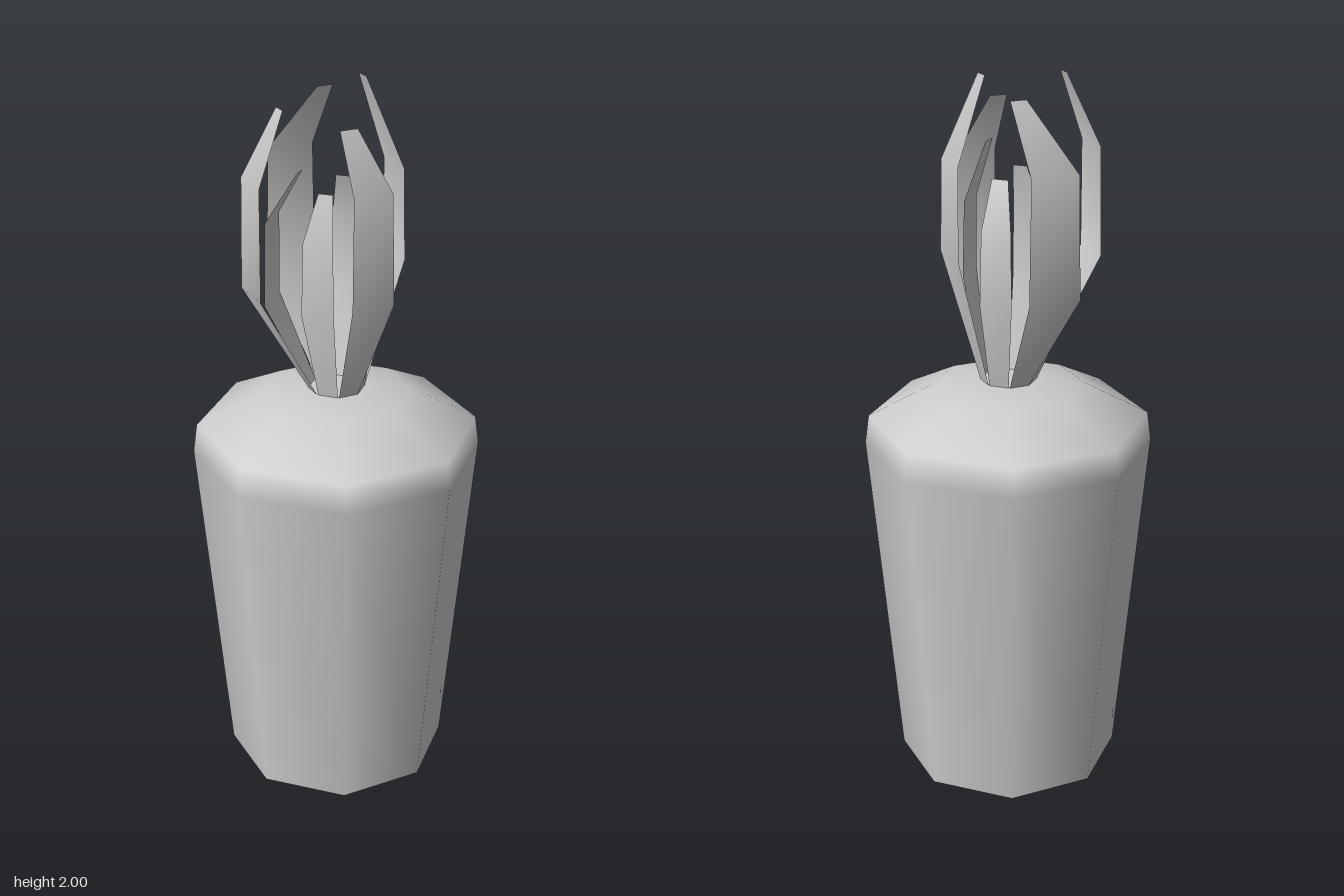
import * as THREE from 'three';

const material = new THREE.MeshStandardMaterial({ color: 0xcccccc, side: THREE.DoubleSide });
const rad = THREE.MathUtils.degToRad;

// Thin ribbon that rises from the crown, bows outwards and curls in to a narrow tip.
// mid and tip are [distance from axis, sideways shift, width]; heights are the three levels above the base.
function createLeaf({ angle, mid, tip, heights }) {
  const a = rad(angle);
  const sections = [
    [0.07, 0, 0.055, 1.15],
    [...mid, heights[0]],
    [mid[0] - 0.004, mid[1], mid[2] * 0.92, heights[1]],
    [...tip, heights[2]],
  ];
  const positions = [];
  const indices = [];
  sections.forEach(([r, shift, width, y], i) => {
    for (const side of [-0.5, 0.5]) {
      const s = shift + side * width;
      positions.push(r * Math.sin(a) + s * Math.cos(a), y, r * Math.cos(a) - s * Math.sin(a));
    }
    if (i > 0) {
      const k = i * 2;
      indices.push(k - 2, k - 1, k + 1, k - 2, k + 1, k);
    }
  });
  const geometry = new THREE.BufferGeometry();
  geometry.setAttribute('position', new THREE.Float32BufferAttribute(positions, 3));
  geometry.setIndex(indices);
  geometry.computeVertexNormals();
  return new THREE.Mesh(geometry, material);
}

export function createModel() {
  const model = new THREE.Group();

  // Eight-sided tapering root, open underneath
  const profile = [
    [0.313, 0], [0.398, 0.97], [0.387, 1.05], [0.21, 1.14], [0.08, 1.155], [0, 1.152],
  ].map(([r, y]) => new THREE.Vector2(r, y));
  const root = new THREE.Mesh(new THREE.LatheGeometry(profile, 8, rad(13)), material);
  root.name = 'root';
  model.add(root);

  // Four tall leaves with four short ones between them
  const tallLeaves = [
    { angle: 170, mid: [0.25, 0.02, 0.145], tip: [0.152, -0.04, 0.045], heights: [1.44, 1.77, 1.95] },
    { angle: 260, mid: [0.263, 0.035, 0.125], tip: [0.19, 0.068, 0.04], heights: [1.48, 1.78, 1.97] },
    { angle: 80, mid: [0.166, -0.009, 0.125], tip: [0.09, 0.034, 0.045], heights: [1.52, 1.77, 2.0] },
    { angle: -10, mid: [0.19, 0.013, 0.12], tip: [0.121, -0.025, 0.05], heights: [1.45, 1.75, 1.91] },
  ];
  const shortLeaves = [
    { angle: 215, mid: [0.175, 0.027, 0.115], tip: [0.085, 0.048, 0.045], heights: [1.4, 1.63, 1.77] },
    { angle: 125, mid: [0.132, 0.015, 0.09], tip: [0.078, 0.007, 0.045], heights: [1.4, 1.6, 1.73] },
    { angle: 305, mid: [0.119, -0.012, 0.09], tip: [0.086, 0, 0.04], heights: [1.4, 1.6, 1.73] },
    { angle: 35, mid: [0.115, -0.007, 0.097], tip: [0.06, -0.015, 0.05], heights: [1.45, 1.65, 1.81] },
  ];
  const leaves = new THREE.Group();
  leaves.name = 'leaves';
  for (const [name, list] of [['tallLeaf', tallLeaves], ['shortLeaf', shortLeaves]]) {
    list.forEach((spec, i) => {
      const leaf = createLeaf(spec);
      leaf.name = `${name}${i + 1}`;
      leaves.add(leaf);
    });
  }
  model.add(leaves);

  return model;
}
